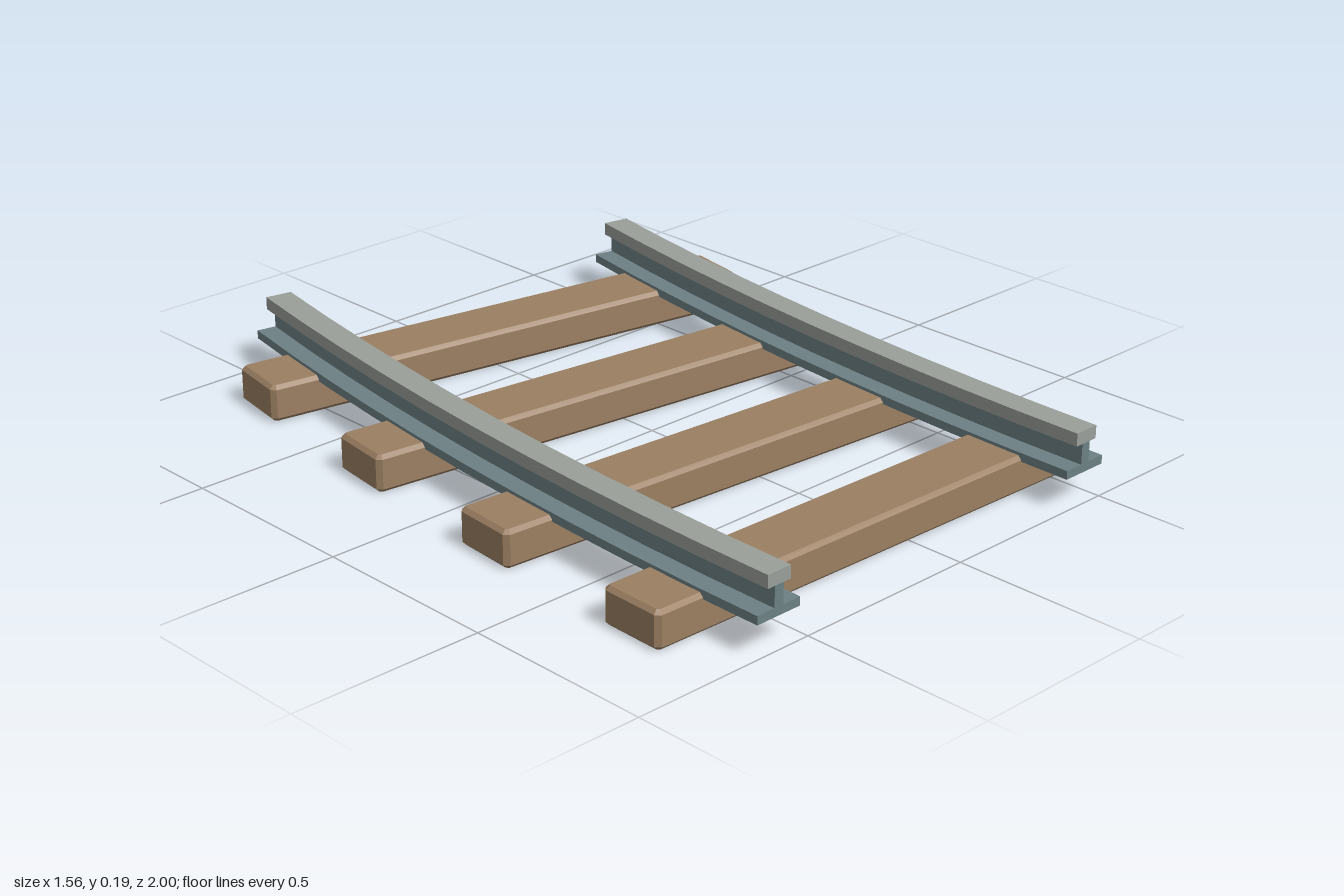
import * as THREE from 'three';

const ARC = THREE.MathUtils.degToRad(11.25); // sweep of the curved track
const CENTRE_X = 9.578;                      // centre of the curve, level with the front end
const MID_RADIUS = 9.655;
const GAUGE = 1.03;

const wood = new THREE.MeshStandardMaterial({ color: 0x9b7f62 });
const steel = new THREE.MeshStandardMaterial({ color: 0x6c8084 });
const polished = new THREE.MeshStandardMaterial({ color: 0x9a9f9a });

// Point on the curve, measured from the front end
function onArc(radius, angle, y) {
  return new THREE.Vector3(CENTRE_X - radius * Math.cos(angle), y, 1 - radius * Math.sin(angle));
}

// Box bent along the track curve
function arcBar(name, radius, width, y0, y1, material) {
  const geometry = new THREE.BoxGeometry(width, y1 - y0, 1, 1, 1, 10);
  geometry.translate(0, (y0 + y1) / 2, 0);
  const p = geometry.attributes.position;
  for (let i = 0; i < p.count; i++) {
    const v = onArc(radius - p.getX(i), (0.5 - p.getZ(i)) * ARC, p.getY(i));
    p.setXYZ(i, v.x, v.y, v.z);
  }
  geometry.computeVertexNormals();
  const mesh = new THREE.Mesh(geometry, material);
  mesh.name = name;
  return mesh;
}

// I-section rail: foot, web and head
function createRail(name, radius) {
  const rail = new THREE.Group();
  rail.name = name;
  rail.add(
    arcBar('railFoot', radius, 0.13, 0.083, 0.105, steel),
    arcBar('railWeb', radius, 0.027, 0.105, 0.158, steel),
    arcBar('railHead', radius, 0.07, 0.158, 0.191, polished)
  );
  return rail;
}

// Sleeper block with chamfered edges
function sleeperGeometry(length, height, width, c) {
  const x = length / 2 - c, z = width / 2 - c, k = c * 0.6;
  const outline = new THREE.Shape([
    [x - k, -z], [x, -z + k], [x, z - k], [x - k, z],
    [-x + k, z], [-x, z - k], [-x, -z + k], [-x + k, -z]
  ].map(([a, b]) => new THREE.Vector2(a, b)));
  const geometry = new THREE.ExtrudeGeometry(outline, {
    depth: height - 2 * c, bevelEnabled: true, bevelSize: c, bevelThickness: c, bevelSegments: 1
  });
  geometry.translate(0, 0, c);
  geometry.rotateX(-Math.PI / 2);
  return geometry;
}

export function createModel() {
  const track = new THREE.Group();
  track.name = 'curvedTrack';

  track.add(
    createRail('outerRail', MID_RADIUS + GAUGE / 2),
    createRail('innerRail', MID_RADIUS - GAUGE / 2)
  );

  // Sleepers spaced evenly, each pointing at the centre of the curve
  const geometry = sleeperGeometry(1.42, 0.097, 0.178, 0.01);
  for (let i = 0; i < 4; i++) {
    const angle = ARC * (i + 0.5) / 4;
    const sleeper = new THREE.Mesh(geometry, wood);
    sleeper.name = `sleeper${i + 1}`;
    sleeper.position.copy(onArc(MID_RADIUS, angle, 0));
    sleeper.rotation.y = -angle;
    track.add(sleeper);
  }
  return track;
}
